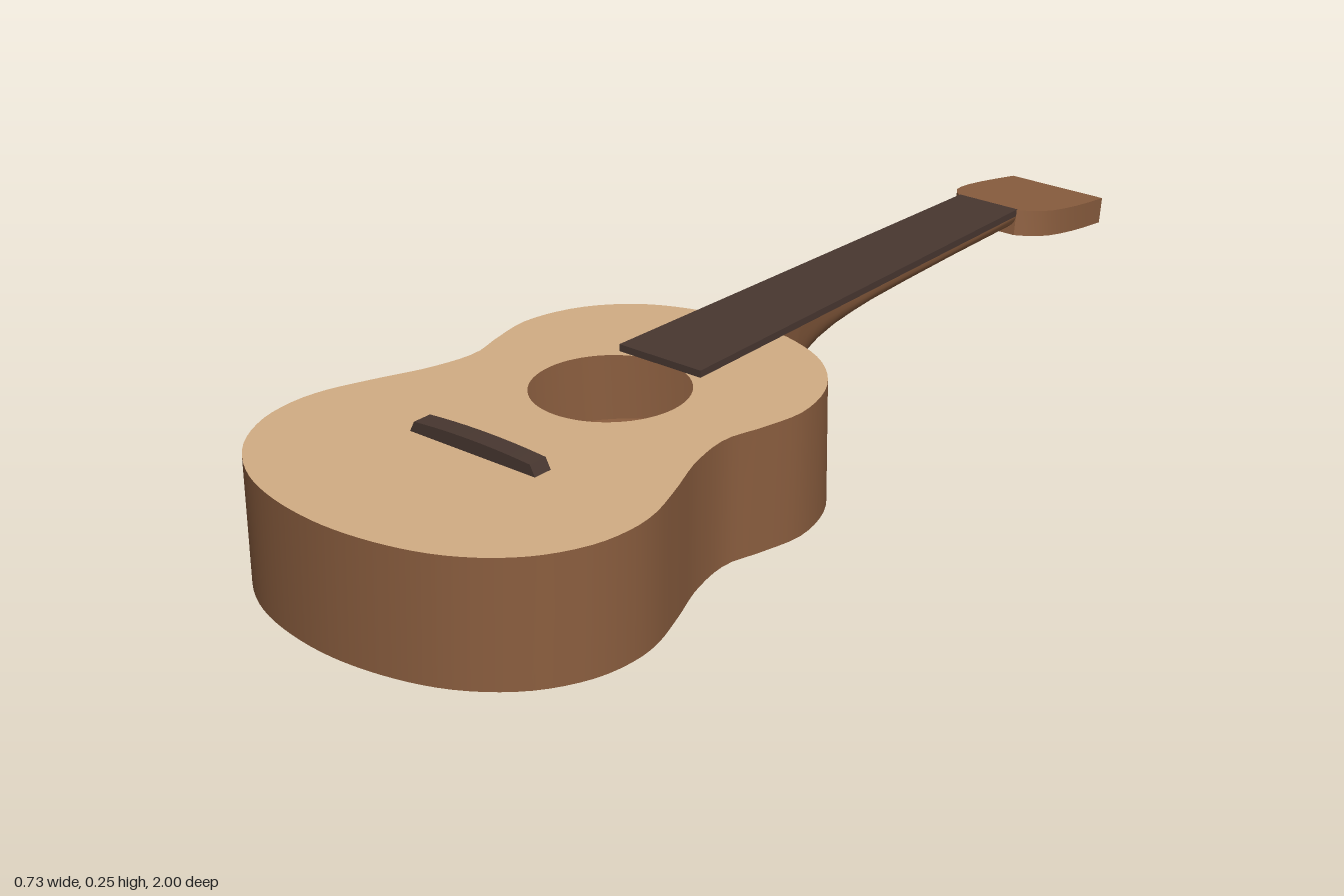
import * as THREE from 'three';
import { toCreasedNormals } from 'three/addons/utils/BufferGeometryUtils.js';

const wood = (color) => new THREE.MeshStandardMaterial({ color, side: THREE.DoubleSide });
const BROWN = wood(0x8b5e3f), SPRUCE = wood(0xd2ad84), DARK = wood(0x483730);
const TOP = 0.224;

// Half outline of the body as [x, z], neck end to tail end
const HALF = [
  [0.09, 0.0], [0.2, 0.045], [0.275, 0.125], [0.307, 0.23], [0.293, 0.32], [0.276, 0.39],
  [0.292, 0.48], [0.332, 0.58], [0.36, 0.66], [0.367, 0.72], [0.354, 0.8], [0.3, 0.89], [0.19, 0.965],
];

function mesh(name, geometry, material) {
  const m = new THREE.Mesh(geometry, material);
  m.name = name;
  return m;
}

// Flat board: shape drawn as (x, -z), laid down with its underside on y = 0
function board(shape, depth) {
  const g = new THREE.ExtrudeGeometry(shape, { depth, bevelEnabled: false, curveSegments: 20 });
  return toCreasedNormals(g.rotateX(-Math.PI / 2), 0.6);
}

function bodyOutline(count) {
  const v = (x, z) => new THREE.Vector3(x, 0, z);
  const pts = [
    v(0, -0.008),
    ...HALF.map(([x, z]) => v(-x, z)),
    v(0, 1),
    ...HALF.slice().reverse().map(([x, z]) => v(x, z)),
  ];
  return new THREE.CatmullRomCurve3(pts, true).getSpacedPoints(count);
}

function createBody() {
  const body = new THREE.Group();
  body.name = 'body';
  const n = 120, outline = bodyOutline(n);

  // Sides: an open cylinder pushed out to the outline
  const sides = new THREE.CylinderGeometry(1, 1, TOP, n, 1, true);
  const pos = sides.attributes.position;
  for (let i = 0; i < pos.count; i++) {
    const p = outline[i % (n + 1)];
    pos.setXYZ(i, p.x, pos.getY(i) + TOP / 2, p.z);
  }
  sides.computeVertexNormals();
  body.add(mesh('sides', sides, BROWN));

  // Back and soundboard
  const plan = () => new THREE.Shape(outline.slice(0, n).map((p) => new THREE.Vector2(p.x, -p.z)));
  const back = new THREE.ShapeGeometry(plan()).rotateX(-Math.PI / 2);
  body.add(mesh('back', back, BROWN));

  const face = plan();
  face.holes.push(new THREE.Path().absarc(0, -0.355, 0.137, 0, Math.PI * 2, true));
  const soundboard = new THREE.ShapeGeometry(face, 32).rotateX(-Math.PI / 2).translate(0, TOP, 0);
  body.add(mesh('soundboard', soundboard, SPRUCE));
  return body;
}

// Neck and heel: U-shaped sections, flat-bottomed at the heel, round along the neck
function createNeck() {
  // [z, depth, heel blend]
  const rows = [
    [0.01, 0.192, 1], [-0.045, 0.192, 1], [-0.055, 0.16, 0.95], [-0.072, 0.128, 0.8], [-0.09, 0.105, 0.6],
    [-0.11, 0.09, 0.45], [-0.14, 0.076, 0.3], [-0.18, 0.064, 0.15], [-0.23, 0.055, 0],
    [-0.29, 0.048, 0], [-0.4, 0.043, 0], [-0.55, 0.039, 0], [-0.76, 0.037, 0],
  ];
  const n = 18, verts = [], index = [];
  for (const [z, depth, heel] of rows) {
    const w = 0.084 + 0.0225 * z;
    for (let j = 0; j <= n; j++) {
      const t = j / n, a = t * Math.PI;
      const drop = Math.min(1, 3 * Math.min(t, 1 - t));
      const edge = 1 - 0.45 * drop;
      const tx = drop < 1 ? Math.sign(0.5 - t) * edge : 0.55 * (1 - 2 * t) * 3;
      const x = THREE.MathUtils.lerp(Math.cos(a), tx, heel);
      const y = THREE.MathUtils.lerp(Math.sin(a), drop, heel);
      verts.push(x * w, TOP - y * depth, z);
    }
  }
  const s = n + 1;
  for (let i = 0; i < rows.length - 1; i++) {
    for (let j = 0; j < n; j++) {
      const a = i * s + j, b = a + s;
      index.push(a, a + 1, b, a + 1, b + 1, b);
    }
  }
  const g = new THREE.BufferGeometry();
  g.setAttribute('position', new THREE.Float32BufferAttribute(verts, 3));
  g.setIndex(index);
  return mesh('neck', toCreasedNormals(g, 0.8), BROWN);
}

function createFretboard() {
  const shape = new THREE.Shape();
  shape.moveTo(-0.09, -0.23).lineTo(0.09, -0.23).lineTo(0.067, 0.752).lineTo(-0.067, 0.752);
  const m = mesh('fretboard', board(shape, 0.013), DARK);
  m.position.y = TOP;
  return m;
}

// Headstock, tipped back from the nut
function createHeadstock() {
  const side = [[0.067, 0], [0.084, 0.016], [0.1, 0.04], [0.108, 0.065], [0.112, 0.1], [0.113, 0.14], [0.111, 0.19], [0.106, 0.252]];
  const pts = [...side, ...side.slice().reverse().map(([x, y]) => [-x, y])];
  const shape = new THREE.Shape(pts.map(([x, y]) => new THREE.Vector2(x, y)));
  const m = mesh('headstock', board(shape, 0.05).translate(0, -0.05, 0), BROWN);
  m.position.set(0, TOP + 0.012, -0.75);
  m.rotation.x = -0.147;
  return m;
}

// Bridge with sloped ends and a slightly arched top
function createBridge() {
  const shape = new THREE.Shape();
  shape.moveTo(-0.136, 0).lineTo(0.136, 0).lineTo(0.126, 0.019);
  shape.quadraticCurveTo(0, 0.029, -0.126, 0.019);
  const g = new THREE.ExtrudeGeometry(shape, { depth: 0.036, bevelEnabled: false });
  const m = mesh('bridge', toCreasedNormals(g, 0.3), DARK);
  m.position.set(0, TOP, 0.647);
  return m;
}

export function createModel() {
  const guitar = new THREE.Group();
  guitar.name = 'guitar';
  guitar.add(createBody(), createNeck(), createFretboard(), createHeadstock(), createBridge());
  return guitar;
}
